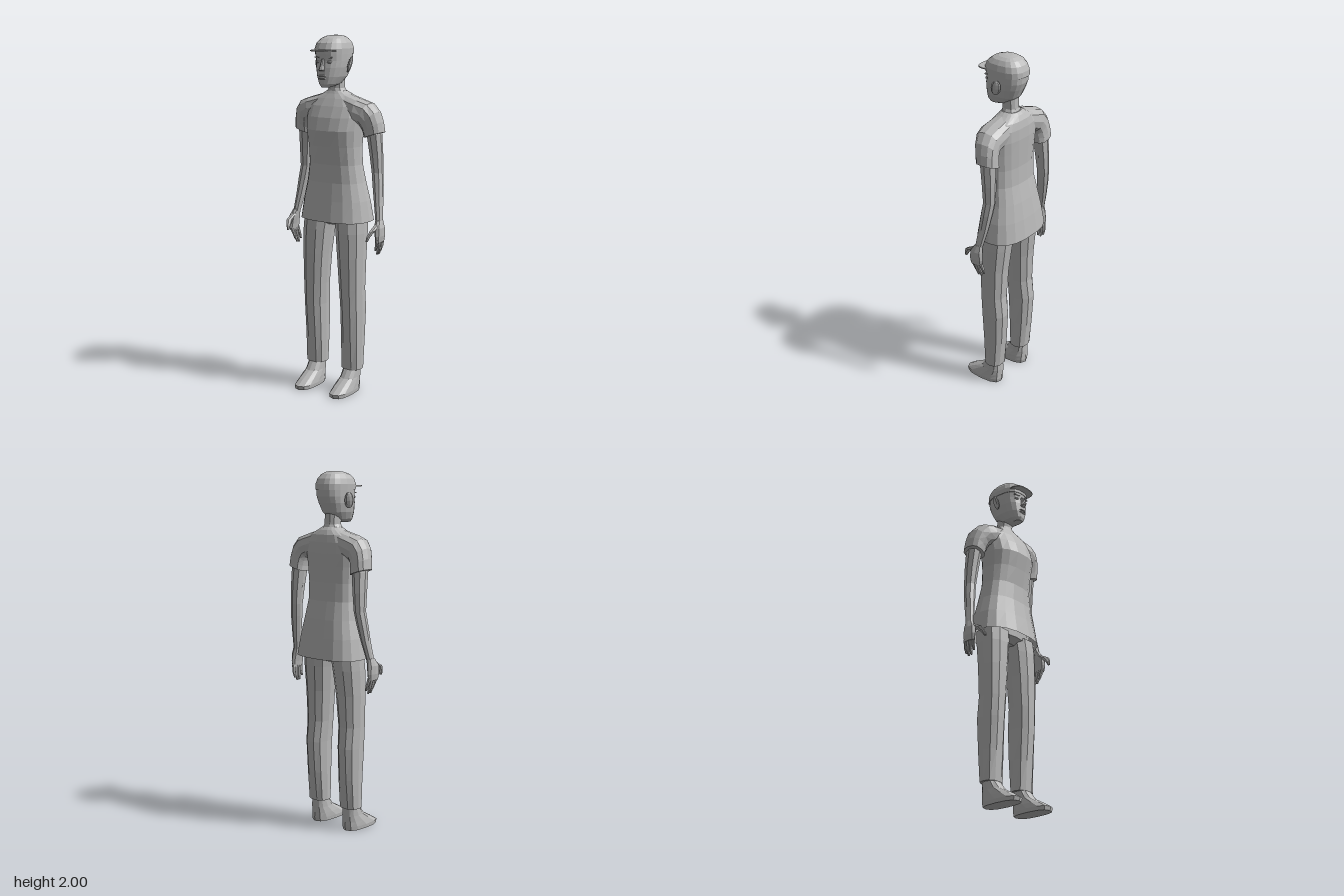
import * as THREE from 'three';

const grey = new THREE.MeshStandardMaterial({ color: 0xb8b8b8, flatShading: true, side: THREE.DoubleSide });
grey.name = 'matte grey';

// Skin over rings listed bottom to top. Ring: [ax, ay, bx, by, zFront, zBack, zWidest?]
// a and b are the outer and inner ends of the section, n is its squareness.
function loft(rings, { sides = 12, n = 2.4, capLow = true, capHigh = true } = {}) {
  const pos = [], idx = [];
  const bend = v => Math.sign(v) * Math.abs(v) ** (2 / n);
  for (const [ax, ay, bx, by, zf, zb, zw = (zf + zb) / 2] of rings) {
    for (let j = 0; j < sides; j++) {
      const t = j / sides * Math.PI * 2;
      const c = bend(Math.cos(t)), s = bend(Math.sin(t));
      pos.push((ax + bx) / 2 + (ax - bx) / 2 * c, (ay + by) / 2 + (ay - by) / 2 * c,
        zw + s * (s > 0 ? zf - zw : zw - zb));
    }
  }
  for (let i = 0; i < rings.length - 1; i++) {
    for (let j = 0; j < sides; j++) {
      const p = i * sides + j, q = i * sides + (j + 1) % sides;
      idx.push(p, p + sides, q, q, p + sides, q + sides);
    }
  }
  const top = (rings.length - 1) * sides;
  for (let j = 1; j < sides - 1; j++) {
    if (capLow) idx.push(0, j, j + 1);
    if (capHigh) idx.push(top, top + j + 1, top + j);
  }
  const g = new THREE.BufferGeometry();
  g.setAttribute('position', new THREE.Float32BufferAttribute(pos, 3));
  g.setIndex(idx);
  const flat = g.toNonIndexed();
  flat.computeVertexNormals();
  return flat;
}

// Centred ring: height, half width, front, back, depth of widest point
const level = (y, w, zf, zb, zw) => [w, y, -w, y, zf, zb, zw];
// Upright ring on one side: height, outer x, inner x, front, back
const limb = (y, out, inn, zf, zb) => [out, y, inn, y, zf, zb];
const mirrored = rings => rings.map(([ax, ay, bx, by, ...z]) => [-bx, by, -ax, ay, ...z]);

export function createModel() {
  const model = new THREE.Group();
  model.name = 'figure';
  const add = (name, geometry, parent = model) => {
    const m = new THREE.Mesh(geometry, grey);
    m.name = name;
    parent.add(m);
    return m;
  };
  const pair = (name, rings, opts) => {
    add('left' + name, loft(rings, opts));
    add('right' + name, loft(mirrored(rings), opts));
  };

  // Flared shirt, open at the hem
  add('shirt', loft([
    level(0.985, 0.215, 0.11, -0.18, -0.045),
    level(1.1, 0.197, 0.09, -0.163, -0.04),
    level(1.2, 0.174, 0.075, -0.145, -0.035),
    level(1.3, 0.158, 0.073, -0.122, -0.03),
    level(1.4, 0.156, 0.09, -0.118, -0.03),
    level(1.49, 0.163, 0.11, -0.122, -0.03),
    level(1.56, 0.17, 0.09, -0.125, -0.035),
    level(1.62, 0.168, 0.06, -0.123, -0.04),
    level(1.66, 0.135, 0.035, -0.115, -0.04),
    level(1.685, 0.08, 0.018, -0.1, -0.04),
    level(1.7, 0.055, 0.01, -0.085, -0.035),
  ], { sides: 18, n: 2.5, capLow: false }));

  // Shoulders running out and down into short sleeves
  pair('Sleeve', [
    [0.285, 1.485, 0.176, 1.45, 0.0, -0.12],
    [0.278, 1.54, 0.176, 1.475, 0.008, -0.116],
    [0.262, 1.595, 0.172, 1.5, 0.02, -0.112],
    [0.222, 1.642, 0.165, 1.52, 0.036, -0.11],
    [0.16, 1.662, 0.145, 1.53, 0.048, -0.112],
    [0.07, 1.688, 0.07, 1.55, 0.035, -0.11],
  ], { sides: 12 });

  // Arms and hands
  pair('Arm', [
    limb(0.99, 0.299, 0.263, -0.012, -0.058),
    limb(1.1, 0.287, 0.24, -0.026, -0.085),
    limb(1.19, 0.28, 0.222, -0.036, -0.102),
    limb(1.26, 0.271, 0.211, -0.043, -0.112),
    limb(1.36, 0.271, 0.2, -0.033, -0.113),
    limb(1.47, 0.268, 0.188, -0.018, -0.11),
    limb(1.54, 0.255, 0.185, -0.015, -0.105),
  ], { sides: 8, n: 2.2 });
  pair('Palm', [
    limb(0.885, 0.304, 0.28, 0.012, -0.064),
    limb(0.92, 0.31, 0.276, 0.018, -0.068),
    limb(0.965, 0.31, 0.268, 0.015, -0.064),
    limb(1.005, 0.299, 0.263, -0.012, -0.058),
  ], { sides: 8, n: 2.6 });
  [0.835, 0.812, 0.81, 0.828].forEach((tip, i) => {
    const z = 0.003 - i * 0.0185;
    pair('Finger' + (i + 1), [
      limb(tip, 0.279, 0.268, z - 0.006, z - 0.016),
      limb(tip + 0.03, 0.292, 0.273, z - 0.001, z - 0.018),
      limb(0.9, 0.304, 0.28, z + 0.009, z - 0.011),
    ], { sides: 6 });
  });
  pair('Thumb', [
    limb(0.9, 0.272, 0.261, 0.076, 0.06),
    limb(0.925, 0.28, 0.262, 0.072, 0.043),
    limb(0.955, 0.295, 0.268, 0.055, 0.01),
    limb(0.985, 0.297, 0.268, 0.0, -0.04),
  ], { sides: 6 });

  // Trousers
  add('trouserSeat', loft([
    level(0.955, 0.09, 0.015, -0.06),
    level(0.985, 0.17, 0.055, -0.11),
    level(1.1, 0.165, 0.06, -0.12),
    level(1.2, 0.15, 0.055, -0.1),
  ]));
  pair('TrouserLeg', [
    limb(0.13, 0.182, 0.06, 0.036, -0.068),
    limb(0.3, 0.183, 0.06, 0.046, -0.085),
    limb(0.48, 0.187, 0.06, 0.058, -0.096),
    limb(0.6, 0.188, 0.054, 0.062, -0.083),
    limb(0.78, 0.192, 0.04, 0.066, -0.092),
    limb(0.92, 0.193, 0.026, 0.066, -0.108),
    limb(1.0, 0.19, 0.015, 0.06, -0.115),
  ], { sides: 10, n: 2.5 });

  // Feet
  pair('Foot', [
    [0.173, 0, 0.068, 0, 0.178, -0.058, 0.06],
    [0.175, 0.022, 0.066, 0.022, 0.182, -0.062, 0.06],
    [0.172, 0.05, 0.068, 0.05, 0.135, -0.06, 0.03],
    [0.168, 0.085, 0.073, 0.085, 0.07, -0.06, 0],
    [0.166, 0.145, 0.076, 0.145, 0.022, -0.058, -0.02],
  ], { sides: 12, n: 2.6 });

  // Neck and head
  add('neck', loft([
    level(1.68, 0.062, 0.015, -0.09),
    level(1.715, 0.043, 0.008, -0.077),
    level(1.8, 0.042, 0.02, -0.075),
  ], { sides: 10 }));
  add('head', loft([
    level(1.724, 0.024, 0.096, 0.03, 0.06),
    level(1.742, 0.046, 0.105, -0.04, 0.02),
    level(1.78, 0.066, 0.108, -0.084, 0),
    level(1.83, 0.079, 0.106, -0.108, -0.01),
    level(1.865, 0.083, 0.1, -0.122, -0.01),
    level(1.92, 0.086, 0.105, -0.127, -0.01),
  ], { sides: 18, n: 2.5 }));
  add('cap', loft([
    level(1.9, 0.087, 0.106, -0.13, -0.01),
    level(1.93, 0.088, 0.108, -0.128, -0.01),
    level(1.96, 0.08, 0.095, -0.116, -0.01),
    level(1.983, 0.064, 0.065, -0.094, -0.01),
    level(1.995, 0.044, 0.03, -0.07, -0.015),
    level(2, 0.02, 0, -0.045, -0.02),
  ], { sides: 18, n: 2.6 }));
  add('brim', loft([
    level(1.917, 0.076, 0.147, 0.03, 0.09),
    level(1.923, 0.076, 0.147, 0.03, 0.09),
  ], { sides: 16, n: 2.8 }));

  // Facial features
  add('nose', loft([
    level(1.812, 0.015, 0.12, 0.09),
    level(1.82, 0.016, 0.131, 0.09),
    level(1.84, 0.009, 0.12, 0.09),
    level(1.875, 0.007, 0.108, 0.09),
  ], { sides: 8, n: 2 }));
  [1.774, 1.786].forEach((y, i) => {
    const lip = add(i ? 'upperLip' : 'lowerLip', new THREE.SphereGeometry(1, 8, 5));
    lip.scale.set(0.025, 0.007, 0.013);
    lip.position.set(0, y, 0.105);
  });
  for (const s of [1, -1]) {
    const side = s > 0 ? 'left' : 'right';
    const eye = add(side + 'Eye', new THREE.SphereGeometry(1, 10, 6));
    eye.scale.set(0.016, 0.008, 0.012);
    eye.position.set(s * 0.036, 1.86, 0.09);
    const brow = add(side + 'Brow', new THREE.BoxGeometry(0.036, 0.006, 0.012));
    brow.position.set(s * 0.037, 1.884, 0.095);
    brow.rotation.y = s * 0.2;
    const ear = add(side + 'Ear', new THREE.SphereGeometry(1, 8, 6));
    ear.scale.set(0.012, 0.046, 0.026);
    ear.position.set(s * 0.1, 1.845, -0.012);
    ear.rotation.set(-0.15, s * 0.5, -s * 0.2);
  }
  return model;
}
